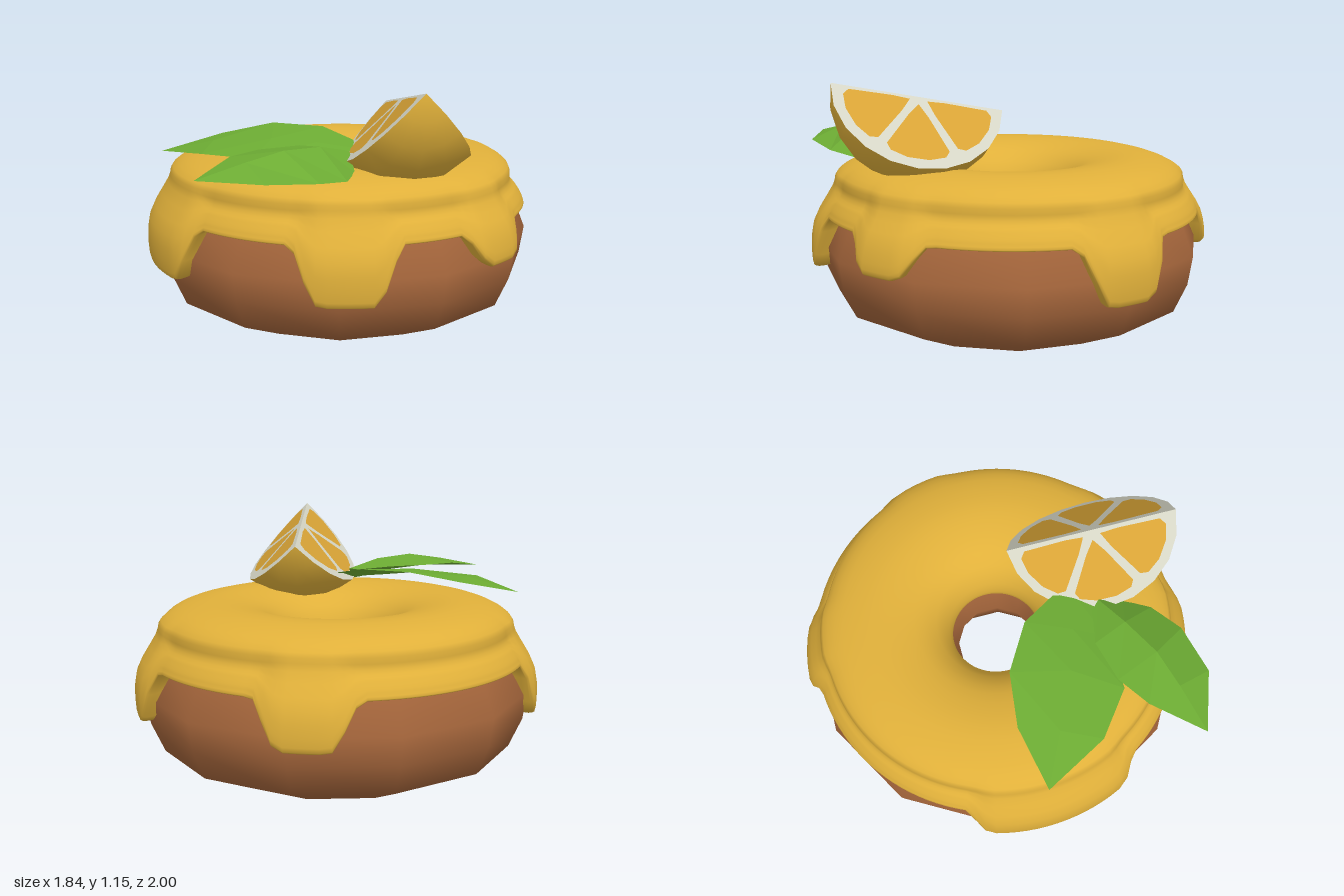
import * as THREE from 'three';
import { ParametricGeometry } from 'three/addons/geometries/ParametricGeometry.js';

const V2 = (x, y) => new THREE.Vector2(x, y);
const V3 = (x, y, z) => new THREE.Vector3(x, y, z);
const deg = THREE.MathUtils.degToRad;

function material(name, color, extra = {}) {
  const m = new THREE.MeshStandardMaterial({ color, ...extra });
  m.name = name;
  return m;
}

function add(parent, name, geometry, mat) {
  const mesh = new THREE.Mesh(geometry, mat);
  mesh.name = name;
  parent.add(mesh);
  return mesh;
}

// Drips: centre angle (from +x towards +z), half width, lowest height
const DRIPS = [[10, 11, 0.38], [58, 13, 0.28], [131, 25, 0.28], [235, 12, 0.33], [302, 12, 0.28]];
const BASE_EDGE = 0.53;

// Icing cross-section at one angle, from the hole over the top to the outer lip
function icingSection(angle) {
  const a = THREE.MathUtils.euclideanModulo(angle * 180 / Math.PI, 360);
  let edge = BASE_EDGE, bulge = 0;
  for (const [centre, half, low] of DRIPS) {
    let d = Math.abs(a - centre);
    d = Math.min(d, 360 - d);
    const k = 1 - THREE.MathUtils.smoothstep(d, half - 6, half + 3);
    edge -= (BASE_EDGE - low) * k;
    bulge = Math.max(bulge, k);
  }
  const out = 0.018 + 0.025 * bulge;
  const doughR = y => 0.545 + 0.355 * Math.sqrt(1 - ((y - 0.37) / 0.38) ** 2);
  const pts = [
    V2(0.25, 0.49), V2(0.212, 0.51), V2(0.225, 0.6), V2(0.28, 0.69), V2(0.38, 0.755),
    V2(0.545, 0.785), V2(0.71, 0.762), V2(0.79 + out * 0.5, 0.71),
  ];
  for (const t of [0, 0.5, 1]) {
    const y = THREE.MathUtils.lerp(0.64, edge + 0.03, t);
    pts.push(V2(doughR(y) + out, y));
  }
  pts.push(V2(doughR(edge) + out * 0.4, edge), V2(doughR(edge) - 0.07, edge + 0.015));
  return new THREE.SplineCurve(pts);
}

// Leaf lofted over rows of left edge, midrib and right edge points
function leafGeometry(rows) {
  const pos = [], tri = (...p) => p.forEach(q => pos.push(...q));
  for (let i = 0; i < rows.length - 1; i++) {
    for (let j = 0; j < 2; j++) {
      const a = rows[i][j], b = rows[i][j + 1], c = rows[i + 1][j], d = rows[i + 1][j + 1];
      tri(a, b, c);
      tri(b, d, c);
    }
  }
  const g = new THREE.BufferGeometry();
  g.setAttribute('position', new THREE.Float32BufferAttribute(pos, 3));
  g.computeVertexNormals();
  return g;
}

// One pulp segment with clipped corners, centred on the given angle
function pulpGeometry(centre) {
  const p = (r, a) => V2(r * Math.cos(deg(centre + a)), r * Math.sin(deg(centre + a)));
  return new THREE.ShapeGeometry(new THREE.Shape([
    p(0.045, 0), p(0.12, -22), p(0.31, -26), p(0.335, -21), p(0.342, -8),
    p(0.342, 8), p(0.335, 21), p(0.31, 26), p(0.12, 22),
  ]));
}

export function createModel() {
  const model = new THREE.Group();
  model.name = 'glazedDoughnut';
  const dough = material('brown dough', 0xa4653b);
  const icing = material('yellow icing', 0xe0b03a, { side: THREE.DoubleSide });
  const pulp = material('orange pulp', 0xd9a436);
  const pith = material('pale pith', 0xd6d6c6);
  const leaf = material('green leaf', 0x6cab33, { side: THREE.DoubleSide, flatShading: true });

  // Ring and its icing
  const ring = new THREE.Group();
  ring.name = 'ring';
  ring.position.set(-0.02, 0, -0.1);
  model.add(ring);
  const profile = [
    [0.545, 0.73], [0.3, 0.63], [0.19, 0.37], [0.27, 0.11], [0.545, 0],
    [0.565, 0], [0.82, 0.115], [0.88, 0.25], [0.9, 0.38], [0.8, 0.63], [0.545, 0.73],
  ].map(p => V2(...p));
  add(ring, 'dough', new THREE.LatheGeometry(profile, 12), dough);
  add(ring, 'icing', new ParametricGeometry((u, v, target) => {
    const a = u * Math.PI * 2;
    const p = icingSection(a).getPoint(THREE.MathUtils.clamp(v, 0, 1));
    target.set(p.x * Math.cos(a), p.y, p.x * Math.sin(a));
  }, 120, 36), icing);

  // Fruit wedge: a quarter ball with its ridge on top
  const wedge = new THREE.Group();
  wedge.name = 'fruitWedge';
  const A = V3(0.19, 1.01, -0.16), B = V3(0.68, 1.15, 0.42), R = A.distanceTo(B) / 2;
  const along = B.clone().sub(A).normalize();
  const down = V3(0, -1, 0).addScaledVector(along, along.y).normalize();
  const side = along.clone().cross(down);
  wedge.quaternion.setFromRotationMatrix(new THREE.Matrix4().makeBasis(side, along, down));
  wedge.position.copy(A).add(B).multiplyScalar(0.5);
  model.add(wedge);
  add(wedge, 'rind', new THREE.SphereGeometry(R, 4, 10, Math.PI / 4, Math.PI / 2), icing);
  for (const s of [1, -1]) {
    const face = new THREE.Group();
    face.name = s > 0 ? 'cutFaceA' : 'cutFaceB';
    face.rotation.y = s * Math.PI * 0.75;
    wedge.add(face);
    add(face, 'pith', new THREE.CircleGeometry(R, 10, s * Math.PI / 2, Math.PI), pith);
    for (const a of [-60, 0, 60]) {
      add(face, 'pulpSegment', pulpGeometry(a + (s > 0 ? 180 : 0)), pulp).position.z = 0.005;
    }
  }

  // Leaves, each row running from tip to base
  const tipA = [-0.62, 0.8, 0.52];
  add(model, 'sideLeaf', leafGeometry([
    [tipA, tipA, tipA],
    [[-0.46, 0.86, 0.27], [-0.38, 0.86, 0.44], [-0.31, 0.835, 0.62]],
    [[-0.27, 0.905, 0.12], [-0.12, 0.88, 0.35], [-0.06, 0.835, 0.59]],
    [[-0.03, 0.9, 0.06], [0.06, 0.865, 0.26], [0.12, 0.82, 0.4]],
    [[0.16, 0.86, 0.1], [0.22, 0.84, 0.18], [0.26, 0.81, 0.25]],
  ]), leaf);
  const tipB = [-0.05, 0.82, 1];
  add(model, 'frontLeaf', leafGeometry([
    [tipB, tipB, tipB],
    [[-0.08, 0.865, 0.72], [0.06, 0.87, 0.8], [0.21, 0.81, 0.88]],
    [[-0.05, 0.87, 0.55], [0.14, 0.9, 0.64], [0.34, 0.79, 0.68]],
    [[0.05, 0.87, 0.38], [0.2, 0.89, 0.45], [0.37, 0.77, 0.51]],
    [[0.19, 0.85, 0.29], [0.25, 0.85, 0.29], [0.33, 0.78, 0.38]],
  ].map(row => row.slice().reverse()), ).scale(1, 1, 1), leaf);

  return model;
}
